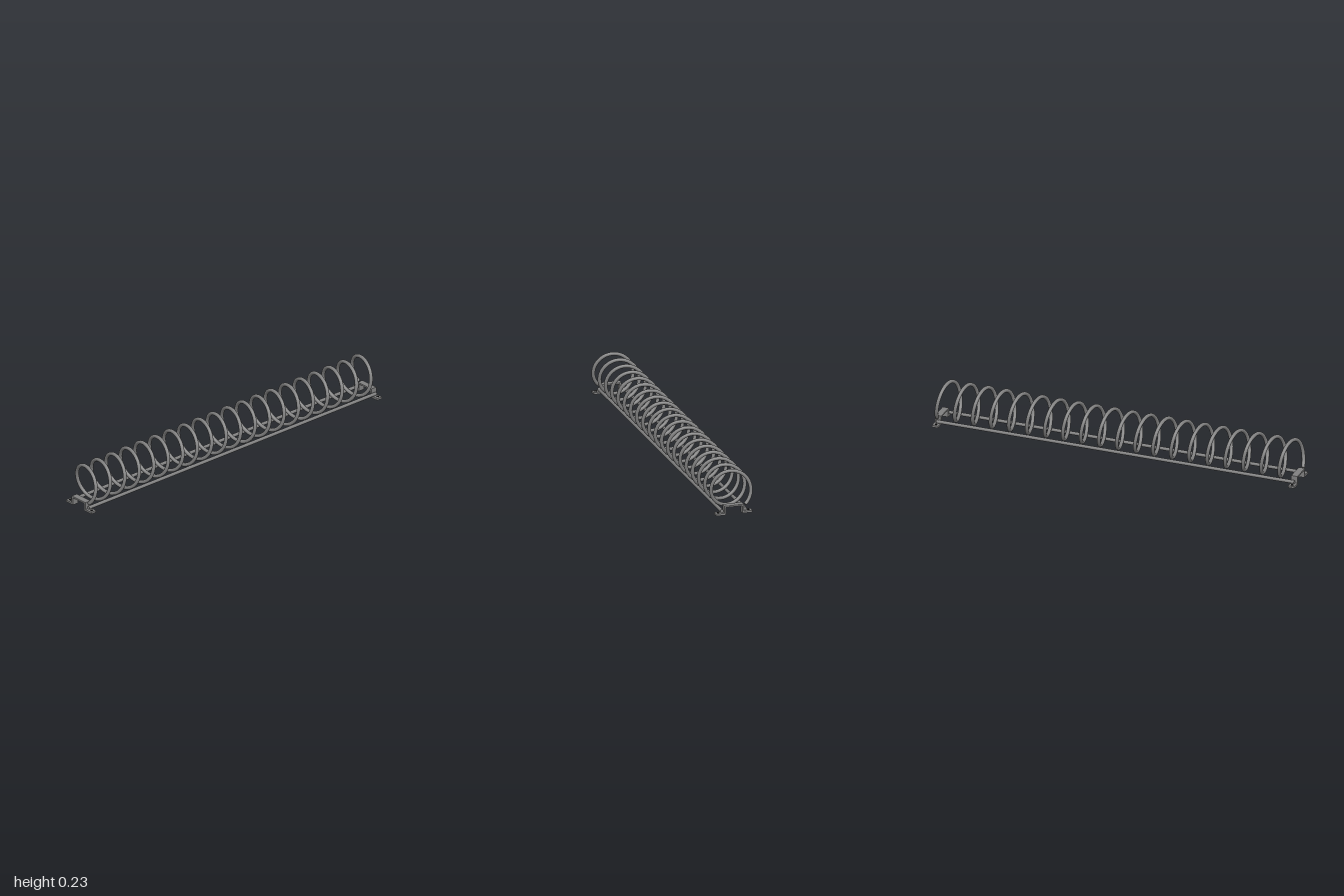
import * as THREE from 'three';

const TURN = Math.PI * 2;
const COIL = { radius: 0.0993, tube: 0.0096, y: 0.1195, pitch: 0.0996, tops: 20, tail: 0.388 };
const ROD = { x: 0.063, y: 0.0195, radius: 0.009, length: 1.975 };
const BRACKET_DEPTH = 0.034;

// Helix along z, symmetric about the middle, with a part turn at both ends
class Helix extends THREE.Curve {
  getPoint(t, target = new THREE.Vector3()) {
    const turns = COIL.tops - 1 + 2 * COIL.tail;
    const a = (t * turns - COIL.tail) * TURN;
    return target.set(
      COIL.radius * Math.sin(a),
      COIL.y + COIL.radius * Math.cos(a),
      (t - 0.5) * turns * COIL.pitch
    );
  }
}

export function createModel() {
  const group = new THREE.Group();
  const metal = new THREE.MeshStandardMaterial({ color: 0x808080 });
  const dark = new THREE.MeshStandardMaterial({ color: 0x181818 });

  const add = (name, geometry, material = metal, parent = group) => {
    const mesh = new THREE.Mesh(geometry, material);
    mesh.name = name;
    parent.add(mesh);
    return mesh;
  };

  // Coil with flat ends
  const helix = new Helix();
  add('coil', new THREE.TubeGeometry(helix, 800, COIL.tube, 14, false));
  for (const t of [0, 1]) {
    const cap = add('coilEnd', new THREE.CircleGeometry(COIL.tube, 14));
    const outward = helix.getTangent(t).multiplyScalar(t ? 1 : -1);
    cap.position.copy(helix.getPoint(t));
    cap.quaternion.setFromUnitVectors(new THREE.Vector3(0, 0, 1), outward);
  }

  // Two rods carrying the coil
  for (const side of [-1, 1]) {
    const rod = add('rod', new THREE.CylinderGeometry(ROD.radius, ROD.radius, ROD.length, 20));
    rod.rotation.x = Math.PI / 2;
    rod.position.set(side * ROD.x, ROD.y, 0);
  }

  // Bent strip bracket: raised bridge, two legs, two feet
  const half = [[0.098, 0], [0.098, 0.0105], [0.053, 0.0105], [0.053, 0.049]];
  const outline = [
    [0.0438, 0.041], [0.0438, 0], ...half,
    ...half.map(([x, y]) => [-x, y]).reverse(), [-0.0438, 0], [-0.0438, 0.041],
  ];
  const strip = new THREE.ExtrudeGeometry(
    new THREE.Shape(outline.map(([x, y]) => new THREE.Vector2(x, y))),
    { depth: BRACKET_DEPTH, bevelEnabled: false }
  );
  strip.translate(0, 0, -BRACKET_DEPTH / 2);

  for (const end of [-1, 1]) {
    const bracket = new THREE.Group();
    bracket.name = end > 0 ? 'frontBracket' : 'backBracket';
    bracket.position.z = end * (1 - BRACKET_DEPTH / 2);
    add('bracketStrip', strip, metal, bracket);
    // Screw heads on the feet
    for (const side of [-1, 1]) {
      const screw = add('screw', new THREE.CylinderGeometry(0.0065, 0.0065, 0.003, 20), dark, bracket);
      screw.position.set(side * 0.082, 0.0115, 0);
    }
    group.add(bracket);
  }

  return group;
}
